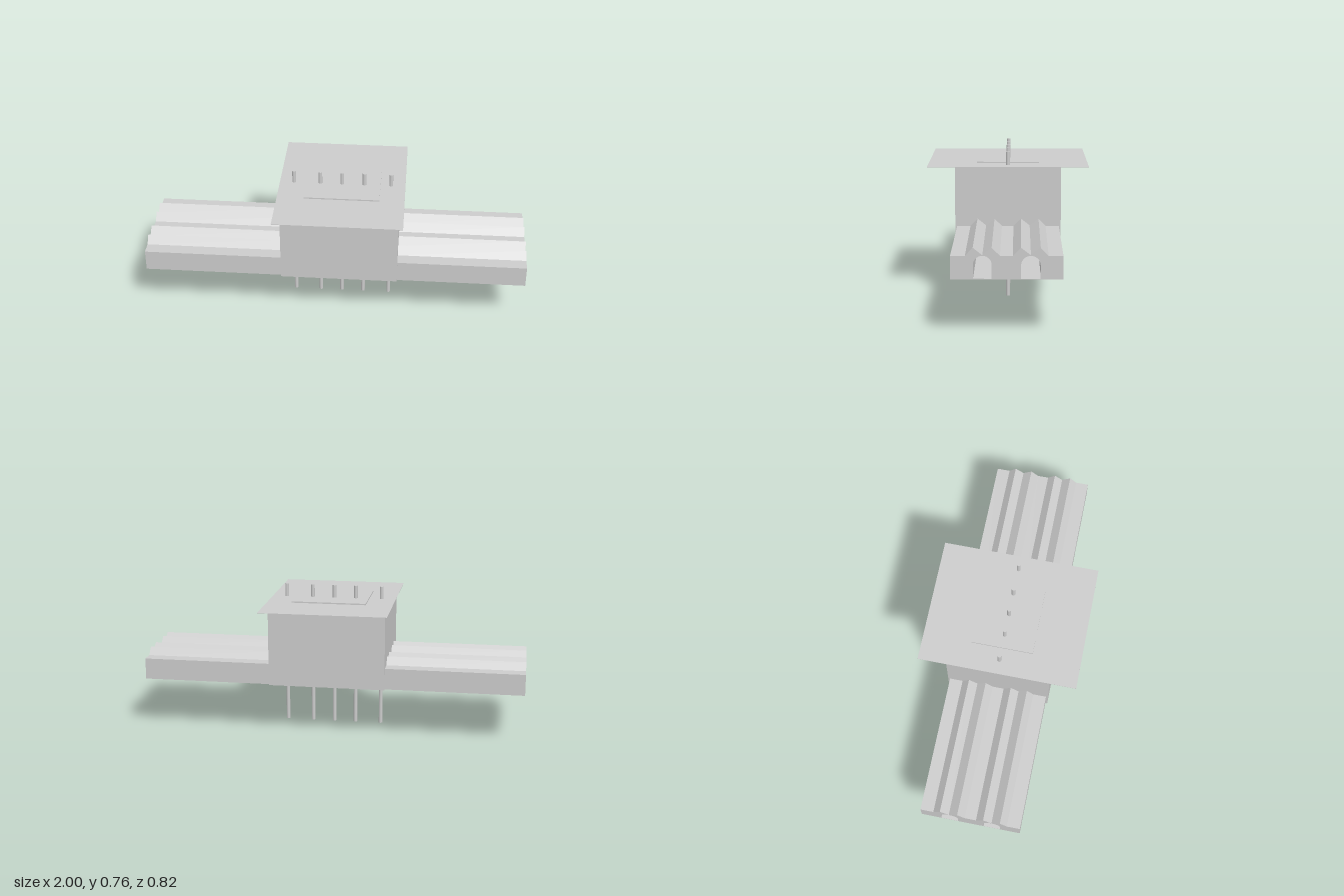
import * as THREE from 'three';

const material = new THREE.MeshStandardMaterial({ color: 0xcccccc });

// Shape from [z, y] points, with z mirrored so that the extrusion runs along +x
function shapeZY(points) {
  return new THREE.Shape(points.map(([z, y]) => new THREE.Vector2(-z, y)));
}

// Round-headed tunnel opening centred on z
function archHole(z, halfWidth) {
  const path = new THREE.Path();
  const floor = 0.273, spring = 0.381 - halfWidth;
  path.moveTo(-z - halfWidth, floor);
  path.lineTo(-z + halfWidth, floor);
  path.lineTo(-z + halfWidth, spring);
  path.absarc(-z, spring, halfWidth, 0, Math.PI, false);
  path.closePath();
  return path;
}

// Extrude a cross-section from x0 to x1, pierced by both tunnels
function tunnelled(points, x0, x1) {
  const shape = shapeZY(points);
  shape.holes.push(archHole(0.112, 0.043), archHole(-0.111, 0.045));
  const geometry = new THREE.ExtrudeGeometry(shape, {
    depth: x1 - x0, bevelEnabled: false, curveSegments: 16,
  });
  return geometry.rotateY(Math.PI / 2).translate(x0, 0, 0);
}

export function createModel() {
  const model = new THREE.Group();
  const add = (name, geometry, x = 0, y = 0, z = 0) => {
    const mesh = new THREE.Mesh(geometry, material);
    mesh.name = name;
    mesh.position.set(x, y, z);
    model.add(mesh);
  };

  // Ridged wings on either side of the body
  const ridged = [
    [0.26, 0.27], [0.26, 0.381], [0.192, 0.381], [0.156, 0.419], [0.112, 0.384],
    [0.069, 0.419], [0.031, 0.381], [-0.028, 0.381], [-0.066, 0.419],
    [-0.111, 0.384], [-0.156, 0.419], [-0.192, 0.381], [-0.26, 0.381], [-0.26, 0.27],
  ];
  add('rightWing', tunnelled(ridged, -1, -0.28));
  add('leftWing', tunnelled(ridged, 0.33, 1));

  // Central block, with the tunnels running through it
  const block = [[0.27, 0.268], [0.27, 0.688], [-0.27, 0.688], [-0.27, 0.268]];
  add('body', tunnelled(block, -0.28, 0.33));

  // Thin overhanging roof sheet
  add('roofPlate', new THREE.BoxGeometry(0.66, 0.002, 0.82), 0.025, 0.689, 0);

  // Low rectangular rim on the roof
  const rim = shapeZY([[-0.16, -0.195], [0.16, -0.195], [0.16, 0.195], [-0.16, 0.195]]);
  rim.holes.push(new THREE.Path([
    [-0.15, -0.185], [-0.15, 0.185], [0.15, 0.185], [0.15, -0.185],
  ].map(([a, b]) => new THREE.Vector2(a, b))));
  const rimGeometry = new THREE.ExtrudeGeometry(rim, { depth: 0.007, bevelEnabled: false });
  rimGeometry.rotateX(-Math.PI / 2).rotateY(Math.PI / 2);
  add('roofRim', rimGeometry, 0.03, 0.69, 0);

  // Row of long pins passing through the block
  const pinGeometry = new THREE.CylinderGeometry(0.01, 0.01, 0.757, 16);
  [-0.23, -0.092, 0.023, 0.14, 0.28].forEach((x, i) => {
    add(`pin${i + 1}`, pinGeometry, x, 0.3785, 0);
  });

  return model;
}
